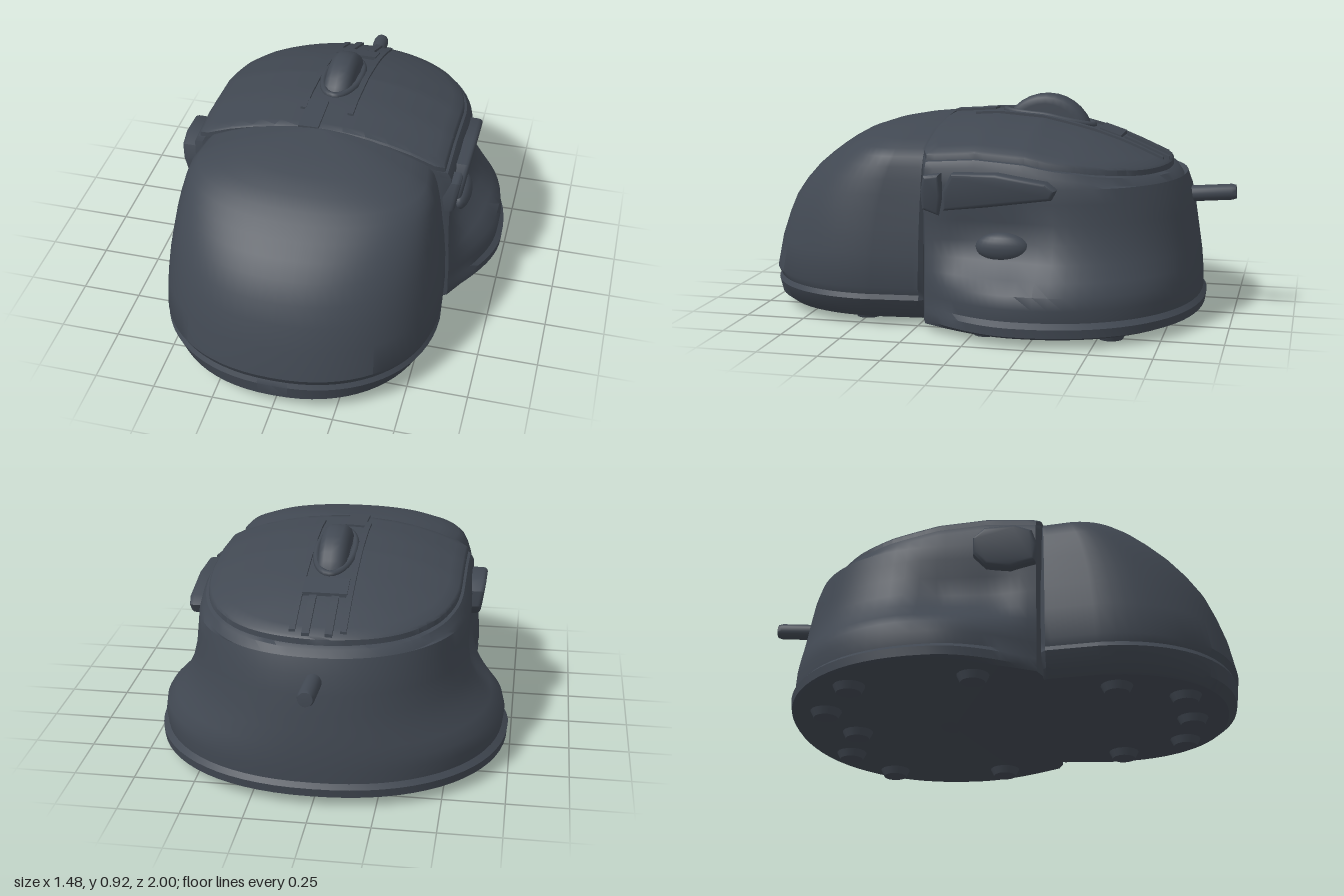
import * as THREE from 'three';
import { toCreasedNormals } from 'three/addons/utils/BufferGeometryUtils.js';

const N = 72, E = 0.91;
const slate = new THREE.MeshStandardMaterial({ color: 0x414852 });
slate.name = 'dark slate';

// Piecewise linear lookup in a list of [key, value] with falling keys
function lookup(table, k) {
  if (k >= table[0][0]) return table[0][1];
  for (let i = 1; i < table.length; i++) {
    const [k0, v0] = table[i - 1], [k1, v1] = table[i];
    if (k >= k1) return v0 + (v1 - v0) * (k0 - k) / (k0 - k1);
  }
  return table[table.length - 1][1];
}

// Height of the crowned button deck
const spine = [[0.22, 0.83], [0, 0.845], [-0.2, 0.83], [-0.4, 0.785], [-0.55, 0.735], [-0.72, 0.66], [-0.8, 0.61]];
const deckY = (x, z) => lookup(spine, z) - 0.11 * Math.pow(Math.abs(x) / 0.52, 2.2);

// Skin a list of closed rings, bottom to top
function loft(rings, crease = 0.6) {
  const pos = rings.flat(2), index = [];
  for (let i = 0; i < rings.length - 1; i++) {
    for (let j = 0; j < N; j++) {
      const a = i * N + j, b = i * N + (j + 1) % N;
      index.push(a, b, a + N, b, b + N, a + N);
    }
  }
  const g = new THREE.BufferGeometry();
  g.setAttribute('position', new THREE.Float32BufferAttribute(pos, 3));
  g.setIndex(index);
  return toCreasedNormals(g, crease);
}

function ring(fn) {
  return Array.from({ length: N }, (_, j) => {
    const t = j / N * Math.PI * 2;
    return fn(Math.sin(t), Math.cos(t), Math.asin(Math.min(1, Math.abs(Math.sin(t)))) / (Math.PI / 2));
  });
}
const point = (x, y, z) => ring(() => [x, y, z]);

// Plan of the rear body: round back, waist and straight front edge
function rearPlan(w, back, fn, front = 0.22) {
  const f = Math.min(0.55, w);
  return ring((s, c, q) => {
    const sign = Math.sign(s);
    if (c < 0) return fn(sign * w * Math.abs(s) ** E, -0.2 + (back + 0.2) * Math.abs(c) ** E);
    if (q < 0.3) return fn(sign * f * q / 0.3, front);
    const u = 1 - (q - 0.3) / 0.7;
    return fn(sign * (f + (w - f) * Math.cos(u * Math.PI / 2)), -0.2 + (front + 0.2) * u);
  });
}

// Plan of the palm rest: straight back edge and round nose
function palmPlan(w, nose, y) {
  const mid = 0.22 + (nose - 0.22) * 0.3;
  return ring((s, c, q) => {
    const sign = Math.sign(s);
    if (c >= 0) return [sign * w * Math.abs(s) ** E, y, mid + (nose - mid) * c ** E];
    if (q < 0.4) return [sign * w * 0.96 * q / 0.4, y, 0.215];
    const u = (q - 0.4) / 0.6;
    return [sign * w * (0.96 + 0.04 * u), y, 0.215 + (mid - 0.215) * u];
  });
}

export function createModel() {
  const model = new THREE.Group();
  const add = (name, geometry, x = 0, y = 0, z = 0) => {
    const m = new THREE.Mesh(geometry, slate);
    m.name = name;
    m.position.set(x, y, z);
    model.add(m);
    return m;
  };

  // Palm rest: y, half width, nose z
  const palm = [
    [0.03, 0.5, 0.95], [0.06, 0.54, 0.985], [0.12, 0.575, 0.993], [0.14, 0.566, 0.983], [0.17, 0.576, 0.998],
    [0.3, 0.57, 0.97], [0.4, 0.56, 0.935], [0.48, 0.548, 0.9], [0.55, 0.538, 0.85], [0.61, 0.527, 0.795],
    [0.66, 0.515, 0.735], [0.7, 0.5, 0.68], [0.73, 0.472, 0.635], [0.76, 0.4, 0.58], [0.79, 0.31, 0.49],
    [0.81, 0.22, 0.39], [0.825, 0.12, 0.29], [0.832, 0.04, 0.23],
  ];
  add('palmRest', loft([point(0, 0.03, 0.5), ...palm.map(([y, w, n]) => palmPlan(w, n, y)), point(0, 0.834, 0.22)]));

  // Rear body with flared foot and thumb hollows: y, half width, back z
  const body = [
    [0.03, 0.7, -0.84], [0.045, 0.735, -0.875], [0.08, 0.738, -0.88], [0.1, 0.715, -0.865], [0.15, 0.722, -0.865],
    [0.2, 0.715, -0.862], [0.25, 0.675, -0.858], [0.31, 0.63, -0.85], [0.38, 0.595, -0.84], [0.46, 0.575, -0.828],
    [0.54, 0.567, -0.812], [0.6, 0.562, -0.79],
  ];
  const hollow = (x, y, z) => {
    const d = Math.exp(-(((z + 0.08) / 0.2) ** 4) - ((y - 0.36) / 0.12) ** 2);
    return [x - Math.sign(x) * (Math.abs(x) > 0.4 ? 0.045 * d : 0), y, z];
  };
  const onDeck = lift => (x, z) => [x, deckY(x, z) + lift, z];
  add('rearBody', loft([
    point(0, 0.03, -0.2),
    ...body.map(([y, w, b]) => rearPlan(w, b, (x, z) => hollow(x, y, z))),
    rearPlan(0.55, -0.775, onDeck(-0.045)),
    rearPlan(0.535, -0.75, onDeck(-0.025)),
    rearPlan(0.49, -0.7, onDeck(-0.03)),
    point(0, 0.7, -0.2),
  ]));

  // Crowned button deck
  const deck = [rearPlan(0.525, -0.73, onDeck(-0.04)), rearPlan(0.522, -0.728, onDeck(-0.006))];
  for (const s of [0.98, 0.9, 0.78, 0.64, 0.48, 0.32, 0.16]) {
    deck.push(rearPlan(0.525, -0.73, (x, z) => onDeck(0)(x * s, -0.2 + (z + 0.2) * s)));
  }
  deck.push(point(0, deckY(0, -0.2), -0.2));
  add('buttonDeck', loft(deck));

  // Strips that follow the deck along its centre
  const strip = (name, x0, x1, z0, z1, lift) => {
    const g = new THREE.BoxGeometry(x1 - x0, 0.04, z1 - z0, 1, 1, 14);
    g.translate((x0 + x1) / 2, lift - 0.02, (z0 + z1) / 2);
    const p = g.attributes.position;
    for (let i = 0; i < p.count; i++) p.setY(i, p.getY(i) + deckY(p.getX(i), p.getZ(i)));
    add(name, toCreasedNormals(g, 0.5));
  };
  for (const s of [-1, 1]) {
    strip('centreRail', s * 0.1 - 0.012, s * 0.1 + 0.012, -0.7, 0.1, 0.01);
    strip('rearRib', s * 0.045 - 0.015, s * 0.045 + 0.015, -0.72, -0.53, 0.012);
  }
  strip('modeButton', -0.09, 0.09, -0.52, -0.43, 0.016);
  strip('frontTab', -0.09, -0.005, 0.04, 0.22, 0.009);

  // Scroll wheel and the rim around its slot
  const tread = [[0, -0.06], [0.16, -0.06], [0.185, -0.05], [0.198, -0.03], [0.2, 0], [0.198, 0.03], [0.185, 0.05], [0.16, 0.06], [0, 0.06]];
  const wheel = new THREE.LatheGeometry(tread.map(([r, y]) => new THREE.Vector2(r, y)), 32);
  add('scrollWheel', wheel, 0, 0.72, -0.19).rotation.z = Math.PI / 2;
  const slot = Array.from({ length: 16 }, (_, i) => {
    const t = i / 16 * Math.PI * 2, x = 0.078 * Math.sin(t), z = -0.2 + 0.19 * Math.cos(t);
    return new THREE.Vector3(x, deckY(x, z) + 0.002, z);
  });
  add('wheelRim', new THREE.TubeGeometry(new THREE.CatmullRomCurve3(slot, true), 48, 0.014, 8, true));

  // Side buttons, outlined in z and y
  const sideButton = (name, outline, x, depth) => {
    const shape = new THREE.Shape(outline.map(([z, y]) => new THREE.Vector2(-z, y)));
    const g = new THREE.ExtrudeGeometry(shape, { depth, bevelSize: 0.015, bevelThickness: 0.02, bevelSegments: 3, bevelOffset: -0.015 });
    g.rotateY(Math.PI / 2);
    const p = g.attributes.position;
    // Lean the tops outward
    for (let i = 0; i < p.count; i++) p.setX(i, p.getX(i) + Math.sign(x) * (p.getY(i) - 0.57) * 0.15);
    add(name, toCreasedNormals(g, 0.7), x);
  };
  sideButton('frontSideButton', [[0.21, 0.5], [0.14, 0.475], [0.125, 0.56], [0.13, 0.65], [0.2, 0.64], [0.215, 0.57]], 0.5, 0.06);
  sideButton('rearSideButton', [[0.12, 0.5], [-0.05, 0.52], [-0.32, 0.56], [-0.34, 0.6], [-0.3, 0.63], [-0.1, 0.66], [0.08, 0.655], [0.12, 0.58]], 0.5, 0.075);
  sideButton('rightSideButton', [[0.2, 0.5], [0.1, 0.475], [0, 0.49], [-0.05, 0.54], [-0.05, 0.61], [0, 0.65], [0.12, 0.655], [0.19, 0.63], [0.21, 0.57]], -0.585, 0.09);

  // Thumb ridge
  add('thumbRidge', new THREE.SphereGeometry(1, 24, 12), 0.555, 0.36, -0.12).scale.set(0.045, 0.06, 0.11);

  // Cable stub
  const cable = [[0, -0.13], [0.034, -0.13], [0.034, 0.1], [0.029, 0.118], [0, 0.12]].map(([r, y]) => new THREE.Vector2(r, y));
  add('cableStub', toCreasedNormals(new THREE.LatheGeometry(cable, 20), 0.8), 0, 0.515, -0.88).rotation.x = -Math.PI / 2 + 0.08;

  // Glide feet
  const feet = [[0, -0.62], [0, 0.8]];
  for (const s of [-1, 1]) feet.push([s * 0.25, 0.77], [s * 0.38, 0.5], [s * 0.55, -0.05], [s * 0.5, -0.55], [s * 0.25, -0.7]);
  for (const [x, z] of feet) {
    add('glideFoot', new THREE.CylinderGeometry(0.07, 0.05, 0.04, 16), x, 0.02, z);
  }
  return model;
}
